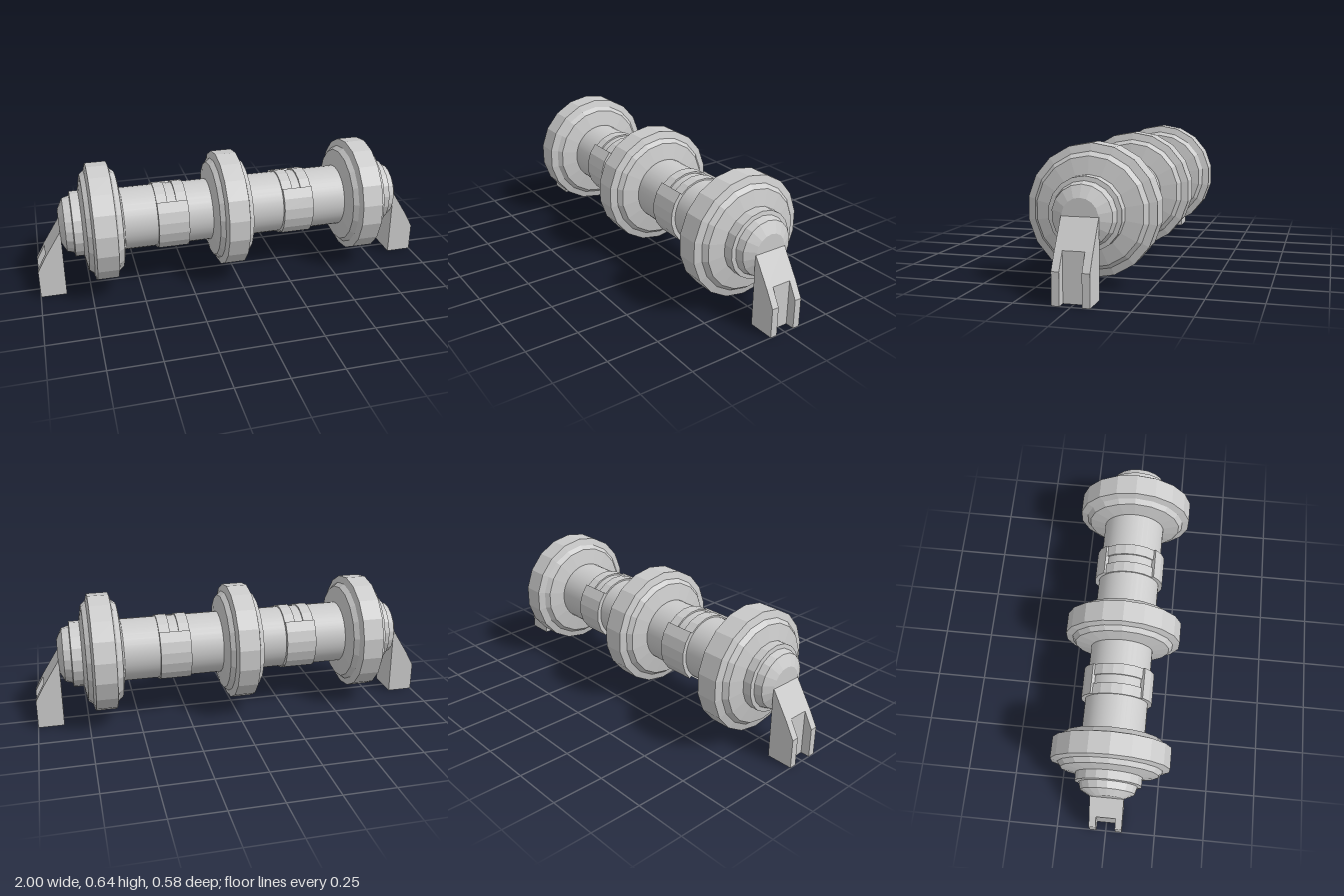
import * as THREE from 'three';

const AXIS_Y = 0.345;
const flat = new THREE.MeshStandardMaterial({ color: 0xcccccc, flatShading: true });
const smooth = new THREE.MeshStandardMaterial({ color: 0xcccccc });

function add(parent, name, geometry, material = flat) {
  const mesh = new THREE.Mesh(geometry, material);
  mesh.name = name;
  parent.add(mesh);
  return mesh;
}

// Turned part along x; profile is [x, radius] from left to right
function turned(profile, sides = 18) {
  const pts = profile.map(([x, r]) => new THREE.Vector2(r, x));
  return new THREE.LatheGeometry(pts, sides, Math.PI / 2).rotateZ(-Math.PI / 2);
}

// Curved plate around the x axis; 90 degrees is the top, 180 the front
function arcPlate(rOut, midDeg, spanDeg, segments, width) {
  const pts = [];
  const point = (r, i) => {
    const a = THREE.MathUtils.degToRad(midDeg - spanDeg / 2 + (spanDeg * i) / segments);
    pts.push(new THREE.Vector2(r * Math.cos(a), r * Math.sin(a)));
  };
  for (let i = 0; i <= segments; i++) point(rOut, i);
  for (let i = segments; i >= 0; i--) point(0.14, i);
  return new THREE.ExtrudeGeometry(new THREE.Shape(pts), { depth: width, bevelEnabled: false })
    .translate(0, 0, -width / 2).rotateY(Math.PI / 2);
}

// Side outline in xy, extruded between z0 and z1
function slab(outline, z0, z1) {
  const shape = new THREE.Shape(outline.map(([x, y]) => new THREE.Vector2(x, y)));
  return new THREE.ExtrudeGeometry(shape, { depth: z1 - z0, bevelEnabled: false }).translate(0, 0, z0);
}

export function createModel() {
  const model = new THREE.Group();
  model.name = 'barrel';
  const shaft = new THREE.Group();
  shaft.name = 'shaft';
  shaft.position.y = AXIS_Y;
  model.add(shaft);

  // Main tube
  add(shaft, 'tube', new THREE.CylinderGeometry(0.156, 0.156, 1.56, 36).rotateZ(Math.PI / 2), smooth);

  // Three stepped collars
  const half = [[0.052, 0.293], [0.062, 0.258], [0.085, 0.24], [0.1, 0.162], [0.1, 0.13]];
  const collar = [...half.map(([x, r]) => [-x, r]).reverse(), ...half];
  [-0.67, -0.03, 0.663].forEach((x) => {
    add(shaft, 'collar', turned(collar)).position.x = x;
  });

  // Clamps: front and back shells, paired straps above and below
  [-0.33, 0.311].forEach((x) => {
    const clamp = new THREE.Group();
    clamp.name = 'clamp';
    clamp.position.x = x;
    shaft.add(clamp);
    [0, 180].forEach((a) => add(clamp, 'clampShell', arcPlate(0.177, a, 88, 5, 0.152)));
    [90, 270].forEach((a) => [-1, 1].forEach((s) => {
      add(clamp, 'clampStrap', arcPlate(0.165, a, 94, 5, 0.054)).position.x = s * 0.049;
    }));
  });

  // End caps and support feet, the second turned half way round
  [0, Math.PI].forEach((turn) => {
    const end = new THREE.Group();
    end.name = turn ? 'rightEnd' : 'leftEnd';
    end.rotation.y = turn;
    model.add(end);

    const cap = turned([[0.75, 0.163], [0.812, 0.163], [0.815, 0.143], [0.85, 0.133], [0.877, 0.08], [0.877, 0]]);
    add(end, 'endCap', cap).position.y = AXIS_Y;

    // Foot core with two cheeks leaving a slot on the outer face
    add(end, 'foot', slab([[0.873, 0], [0.957, 0], [0.957, 0.22], [0.873, 0.353]], -0.082, 0.082));
    const cheek = [[0.957, 0], [1, 0], [1, 0.142], [0.957, 0.22]];
    add(end, 'footCheek', slab(cheek, 0.048, 0.082));
    add(end, 'footCheek', slab(cheek, -0.082, -0.048));
  });

  return model;
}
